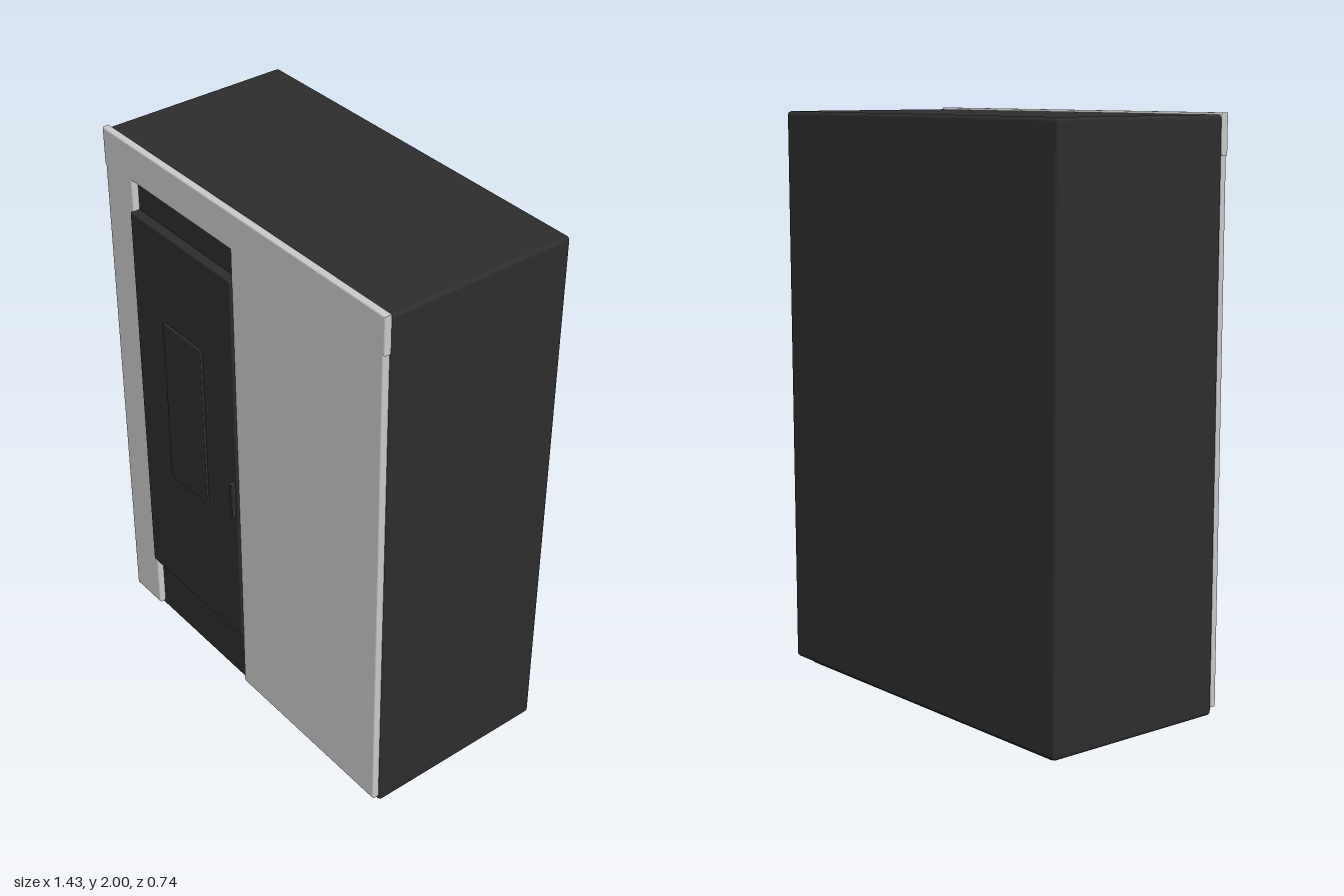
import * as THREE from 'three';
import { RoundedBoxGeometry } from 'three/addons/geometries/RoundedBoxGeometry.js';

const charcoal = new THREE.MeshStandardMaterial({ color: 0x2d2d2d });
charcoal.name = 'charcoal';
const lightGrey = new THREE.MeshStandardMaterial({ color: 0xcacaca });
lightGrey.name = 'lightGrey';

// Rounded box given by its lower and upper limits on each axis
function block(name, [x0, x1], [y0, y1], [z0, z1], radius) {
  const geometry = new RoundedBoxGeometry(x1 - x0, y1 - y0, z1 - z0, 3, radius);
  const mesh = new THREE.Mesh(geometry, charcoal);
  mesh.name = name;
  mesh.position.set((x0 + x1) / 2, (y0 + y1) / 2, (z0 + z1) / 2);
  return mesh;
}

// Front panel: top band over two side panels, open where the door sits
function frontPanel() {
  const outline = [
    [-0.711, 0.045], [-0.56, 0.045], [-0.56, 1.868], [-0.02, 1.868],
    [-0.02, 0.045], [0.711, 0.045], [0.711, 1.866], [0.717, 1.866],
    [0.717, 2], [-0.717, 2], [-0.717, 1.866], [-0.711, 1.866],
  ];
  const shape = new THREE.Shape(outline.map(([x, y]) => new THREE.Vector2(x, y)));
  const bevel = 0.005;
  const geometry = new THREE.ExtrudeGeometry(shape, {
    depth: 0.027 - 2 * bevel,
    bevelSize: bevel,
    bevelThickness: bevel,
    bevelOffset: -bevel,
    bevelSegments: 3,
  });
  const mesh = new THREE.Mesh(geometry, lightGrey);
  mesh.name = 'frontPanel';
  mesh.position.z = 0.319 + bevel;
  return mesh;
}

export function createModel() {
  const model = new THREE.Group();
  model.name = 'cabinet';
  model.add(
    block('base', [-0.663, 0.663], [0, 0.06], [-0.335, 0.288], 0.006),
    block('body', [-0.717, 0.717], [0.02, 1.994], [-0.372, 0.322], 0.014),
    frontPanel(),
    block('door', [-0.566, -0.015], [0.265, 1.755], [0.31, 0.356], 0.005),
    block('doorInset', [-0.398, -0.182], [0.768, 1.41], [0.345, 0.364], 0.003),
    block('handle', [-0.037, -0.02], [0.816, 0.96], [0.345, 0.372], 0.003),
  );
  return model;
}
